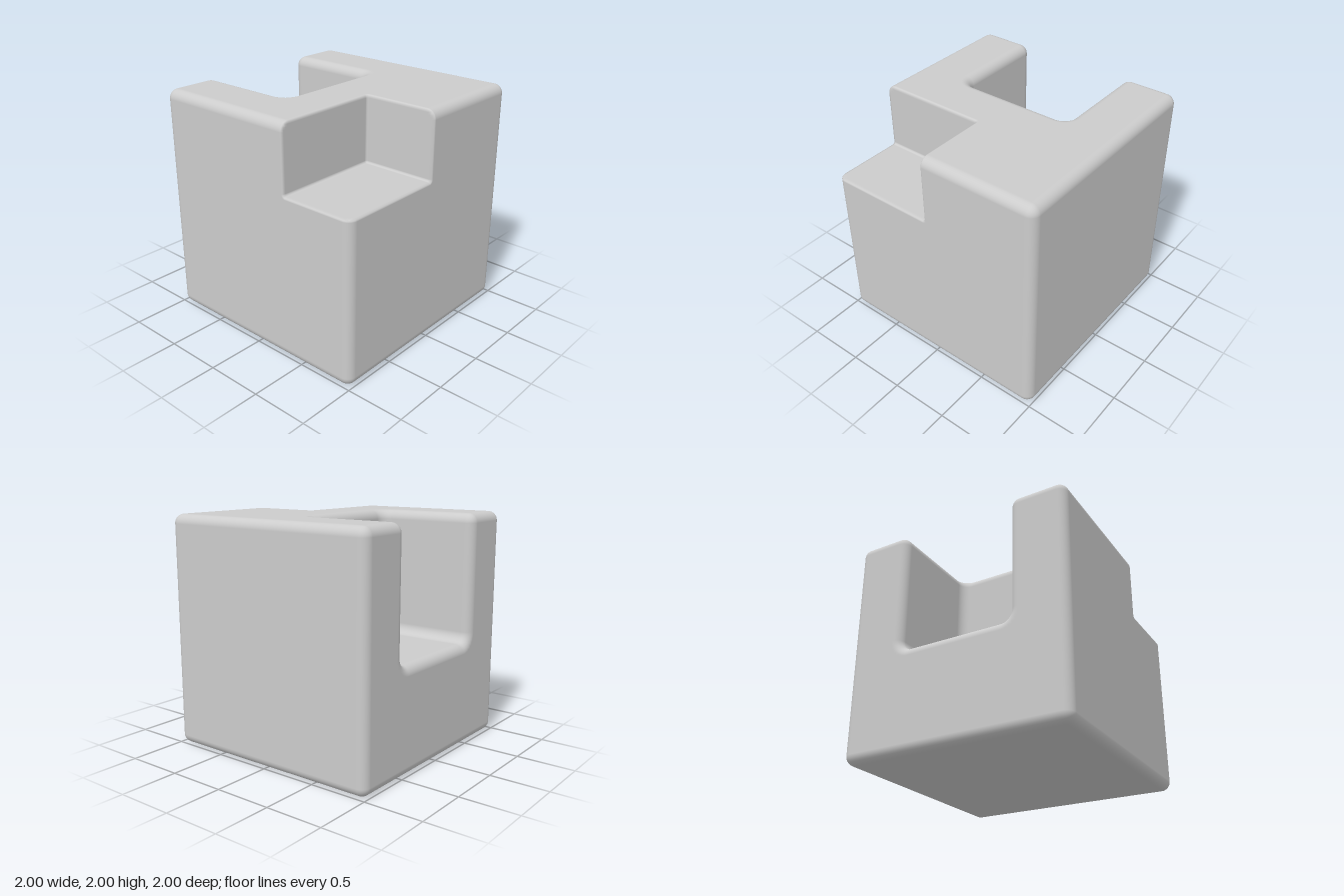
import * as THREE from 'three';

const EDGE = 0.08;   // outer edges and slot rim
const SLOT = 0.09;   // inside corners of the slot
const NOTCH = 0.02;  // edges of the corner notch

// Boxes as [min, max]; the two cutters run out past the body
const body = [[-1, 0, -1], [1, 2, 1]];
const slot = [[-4, 0.9, -0.508], [-0.1, 5, 0.508]];
const notch = [[0.345, 1.42, 0.033], [4, 5, 4]];

// Signed distance to a box with rounded edges
function roundedBox(p, [min, max], r) {
  const q = p.map((v, i) => Math.abs(v - (min[i] + max[i]) / 2) - (max[i] - min[i]) / 2 + r);
  return Math.hypot(...q.map((v) => Math.max(v, 0))) + Math.min(Math.max(...q), 0) - r;
}

// Cut b out of a, leaving a rounded rim
function roundedCut(a, b, r) {
  return Math.min(-r, Math.max(a, -b)) + Math.hypot(Math.max(r + a, 0), Math.max(r - b, 0));
}

function distance(p) {
  const slotted = roundedCut(roundedBox(p, body, EDGE), roundedBox(p, slot, SLOT), EDGE);
  return roundedCut(slotted, roundedBox(p, notch, NOTCH), NOTCH);
}

function gradient(p) {
  const e = 1e-5;
  return [0, 1, 2].map((i) => {
    const a = [...p], b = [...p];
    a[i] += e;
    b[i] -= e;
    return (distance(a) - distance(b)) / (2 * e);
  });
}

const inside = (p, [min, max]) => p.every((v, i) => v > min[i] && v < max[i]);
const solid = (p) => inside(p, body) && !inside(p, slot) && !inside(p, notch);

// Grid lines on one axis: each face plane, with extra lines across its rounding
function gridLines(axis) {
  const lines = new Set();
  for (const [box, radii] of [[body, [EDGE]], [slot, [EDGE, SLOT]], [notch, [NOTCH]]]) {
    for (const corner of box) {
      for (const r of radii) {
        for (const t of [0, 0.33, 0.59, 0.8, 1]) {
          for (const s of [-1, 1]) {
            const v = corner[axis] + s * t * r;
            if (v >= body[0][axis] && v <= body[1][axis]) lines.add(Number(v.toFixed(4)));
          }
        }
      }
    }
  }
  return [...lines].sort((a, b) => a - b);
}

// Skin of the sharp-cornered block, then every vertex drawn onto the rounded surface
function blockGeometry() {
  const grid = [0, 1, 2].map(gridLines);
  const positions = [], normals = [], indices = [];
  const known = new Map();

  function vertex(cell) {
    const key = cell.join();
    if (!known.has(key)) {
      let p = cell.map((n, i) => grid[i][n]);
      for (let k = 0; k < 8; k++) {
        const d = distance(p), g = gradient(p);
        const len2 = g[0] ** 2 + g[1] ** 2 + g[2] ** 2 || 1;
        p = p.map((v, i) => v - (d * g[i]) / len2);
      }
      known.set(key, positions.length / 3);
      positions.push(...p);
      normals.push(...new THREE.Vector3(...gradient(p)).normalize().toArray());
    }
    return known.get(key);
  }

  const filled = (cell) =>
    cell.every((n, i) => n >= 0 && n < grid[i].length - 1) &&
    solid(cell.map((n, i) => (grid[i][n] + grid[i][n + 1]) / 2));

  for (let x = 0; x < grid[0].length - 1; x++)
    for (let y = 0; y < grid[1].length - 1; y++)
      for (let z = 0; z < grid[2].length - 1; z++) {
        const cell = [x, y, z];
        if (!filled(cell)) continue;
        for (let a = 0; a < 3; a++)
          for (const side of [0, 1]) {
            const next = [...cell];
            next[a] += side ? 1 : -1;
            if (filled(next)) continue;
            const quad = [[0, 0], [1, 0], [1, 1], [0, 1]].map(([u, v]) => {
              const c = [...cell];
              c[a] += side;
              c[(a + 1) % 3] += u;
              c[(a + 2) % 3] += v;
              return vertex(c);
            });
            if (!side) quad.reverse();
            indices.push(quad[0], quad[1], quad[2], quad[0], quad[2], quad[3]);
          }
      }

  const geometry = new THREE.BufferGeometry();
  geometry.setAttribute('position', new THREE.Float32BufferAttribute(positions, 3));
  geometry.setAttribute('normal', new THREE.Float32BufferAttribute(normals, 3));
  geometry.setIndex(indices);
  return geometry;
}

export function createModel() {
  const group = new THREE.Group();
  group.name = 'notchedCube';
  const grey = new THREE.MeshStandardMaterial({ color: 0xcccccc });
  grey.name = 'light grey';
  const block = new THREE.Mesh(blockGeometry(), grey);
  block.name = 'block';
  group.add(block);
  return group;
}
